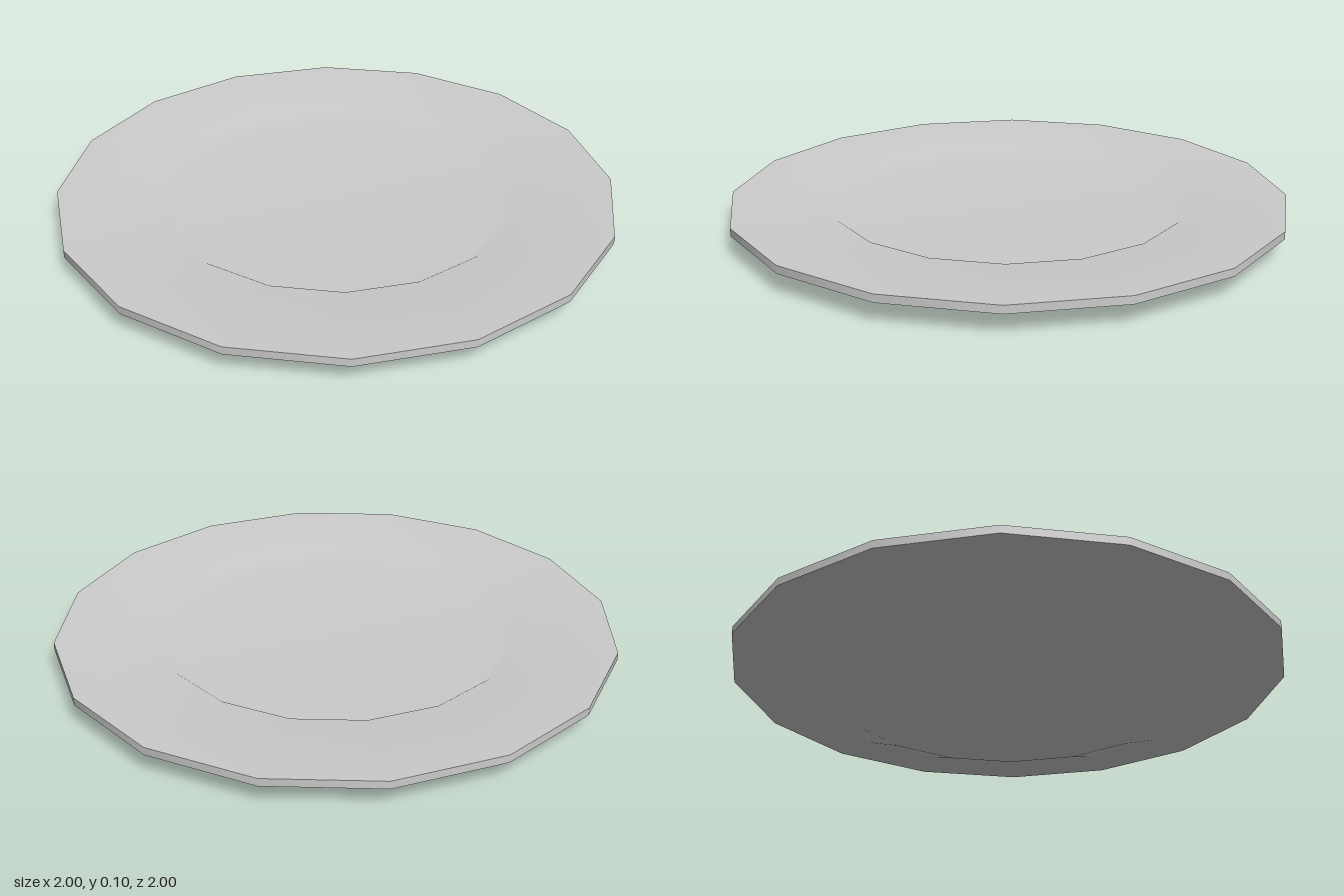
import * as THREE from 'three';

const SIDES = 16;
const material = new THREE.MeshStandardMaterial({ color: 0xcccccc });

// Each surface is its own lathe, so shading is smooth inside it and creased at its borders
function turned(name, profile) {
  const points = profile.map(([r, y]) => new THREE.Vector2(r, y));
  const mesh = new THREE.Mesh(new THREE.LatheGeometry(points, SIDES), material);
  mesh.name = name;
  return mesh;
}

export function createModel() {
  const plate = new THREE.Group();
  plate.name = 'plate';
  plate.add(
    // Flat foot the plate stands on
    turned('foot', [[0, 0], [0.635, 0]]),
    // Sloping wall running out into the flat underside of the rim
    turned('underside', [[0.635, 0], [0.82, 0.068], [1, 0.072]]),
    // Thin outer edge
    turned('rimEdge', [[1, 0.072], [1, 0.1]]),
    // Gently dished rim, small step down, and the eating surface
    turned('topSurface', [[1, 0.1], [0.635, 0.08], [0.595, 0.05], [0, 0.05]]),
  );
  return plate;
}
